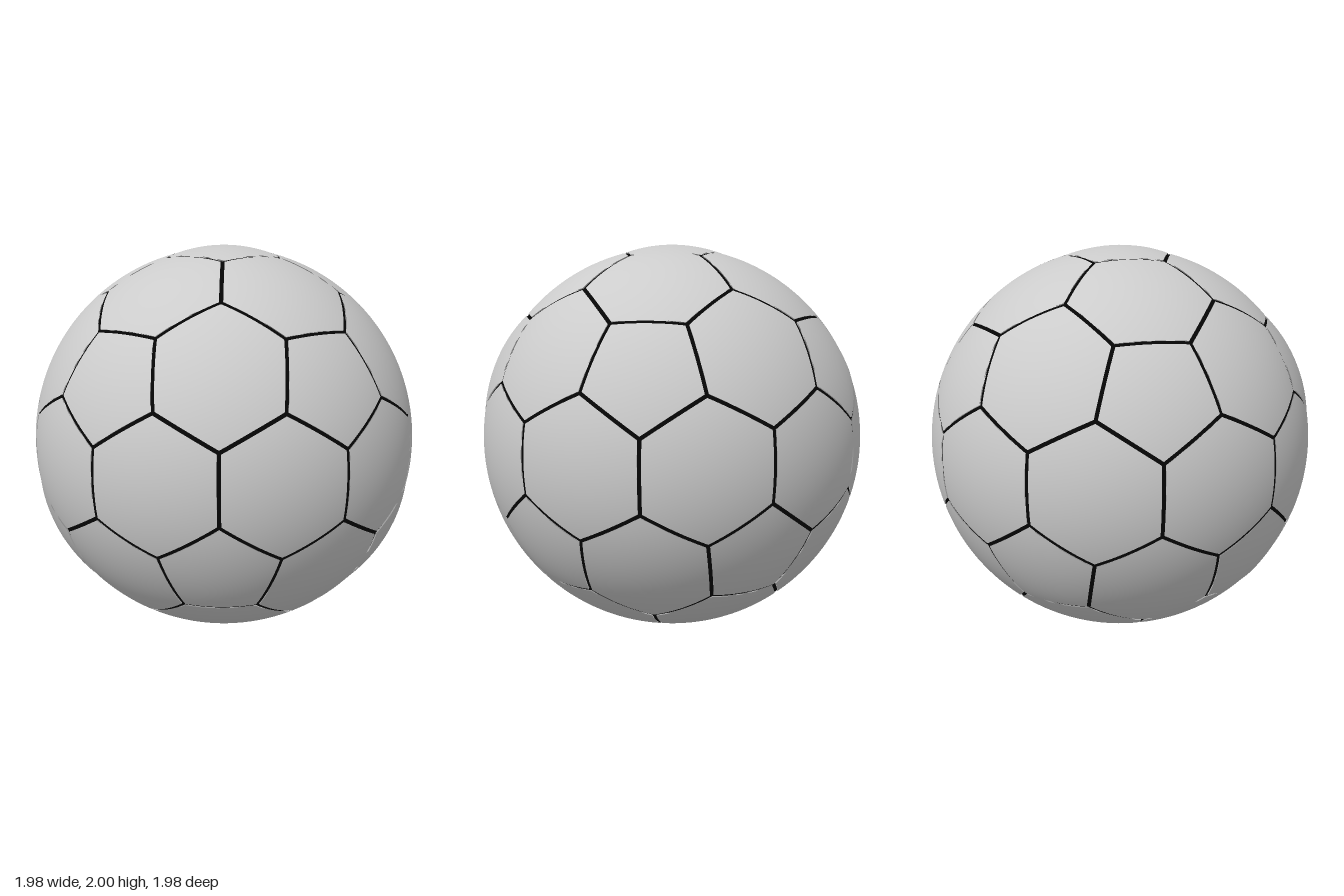
import * as THREE from 'three';

const SEAM_R = 0.983, PANEL_R = 0.988, HALF_GAP = 0.0095, COLS = 8;

// Twelve five-sided panel centres: two poles and two staggered rings.
function poleAndRingDirections() {
  const dirs = [new THREE.Vector3(0, 1, 0), new THREE.Vector3(0, -1, 0)];
  const lat = Math.atan(0.5);
  for (let k = 0; k < 10; k++) {
    const az = k * Math.PI / 5, sign = k % 2 ? -1 : 1;
    dirs.push(new THREE.Vector3(
      Math.cos(lat) * Math.cos(az), sign * Math.sin(lat), Math.cos(lat) * Math.sin(az)));
  }
  return dirs;
}

// Panel centres with the corners around each: 12 pentagons and 30 hexagons.
function makePanels() {
  const dirs = poleAndRingDirections();
  const panels = dirs.map(centre => ({ centre, corners: [] }));
  const mids = new Map();
  const near = (i, j) => dirs[i].distanceTo(dirs[j]) < 1.1;
  const midPanel = (i, j) => {
    const key = Math.min(i, j) + '-' + Math.max(i, j);
    if (!mids.has(key)) {
      const panel = { centre: dirs[i].clone().add(dirs[j]).normalize(), corners: [] };
      mids.set(key, panel);
      panels.push(panel);
    }
    return mids.get(key);
  };
  // a corner lies where three neighbouring panels meet
  const addCorner = trio => {
    const p = new THREE.Vector3();
    trio.forEach(t => p.add(t.centre));
    p.normalize();
    trio.forEach(t => t.corners.push(p));
  };
  for (let a = 0; a < 12; a++)
    for (let b = a + 1; b < 12; b++)
      for (let c = b + 1; c < 12; c++) {
        if (!near(a, b) || !near(b, c) || !near(a, c)) continue;
        const ab = midPanel(a, b), bc = midPanel(b, c), ca = midPanel(c, a);
        addCorner([panels[a], ab, ca]);
        addCorner([panels[b], ab, bc]);
        addCorner([panels[c], bc, ca]);
        addCorner([ab, bc, ca]);
      }
  // sort corners anticlockwise as seen from outside
  for (const { centre, corners } of panels) {
    const u = corners[0].clone().projectOnPlane(centre).normalize();
    const w = centre.clone().cross(u);
    const angle = p => Math.atan2(p.dot(w), p.dot(u));
    corners.sort((p, q) => angle(p) - angle(q));
  }
  return panels;
}

// One curved panel: rings from the rim to the centre, plus a short skirt into the seam.
function panelGeometry({ centre, corners }) {
  const n = corners.length, pent = n === 5, around = n * COLS;
  const rim = 1 - HALF_GAP / (pent ? 0.25 : 0.3);
  const rings = [{ s: rim, r: SEAM_R - 0.003 }];
  for (let i = 0; i <= 7; i++) {
    const s = rim * (1 - i / 7);
    rings.push({ s, r: PANEL_R + (pent ? 0.012 : 0) * (1 - s * s) });
  }
  const pos = [], nor = [], idx = [];
  const p = new THREE.Vector3();
  for (const { s, r } of rings)
    for (let k = 0; k < around; k++) {
      const e = Math.floor(k / COLS);
      p.lerpVectors(corners[e], corners[(e + 1) % n], (k % COLS) / COLS).normalize();
      p.lerpVectors(centre, p, s).normalize();
      nor.push(p.x, p.y, p.z);
      pos.push(p.x * r, p.y * r, p.z * r);
    }
  for (let i = 0; i < rings.length - 1; i++)
    for (let k = 0; k < around; k++) {
      const a = i * around + k, b = i * around + (k + 1) % around;
      idx.push(a, b, a + around);
      if (i < rings.length - 2) idx.push(b, b + around, a + around);
    }
  const g = new THREE.BufferGeometry();
  g.setAttribute('position', new THREE.Float32BufferAttribute(pos, 3));
  g.setAttribute('normal', new THREE.Float32BufferAttribute(nor, 3));
  g.setIndex(idx);
  return g;
}

export function createModel() {
  const model = new THREE.Group();
  model.name = 'ball';
  const grey = new THREE.MeshStandardMaterial({ color: 0xcccccc });
  const black = new THREE.MeshStandardMaterial({ color: 0x050505 });

  // Dark inner ball that shows through the gaps as seams
  const seams = new THREE.Mesh(new THREE.IcosahedronGeometry(SEAM_R, 30), black);
  seams.name = 'seams';
  model.add(seams);

  for (const panel of makePanels()) {
    const mesh = new THREE.Mesh(panelGeometry(panel), grey);
    mesh.name = panel.corners.length === 5 ? 'pentagonPanel' : 'hexagonPanel';
    model.add(mesh);
  }
  model.position.y = 1;
  return model;
}
